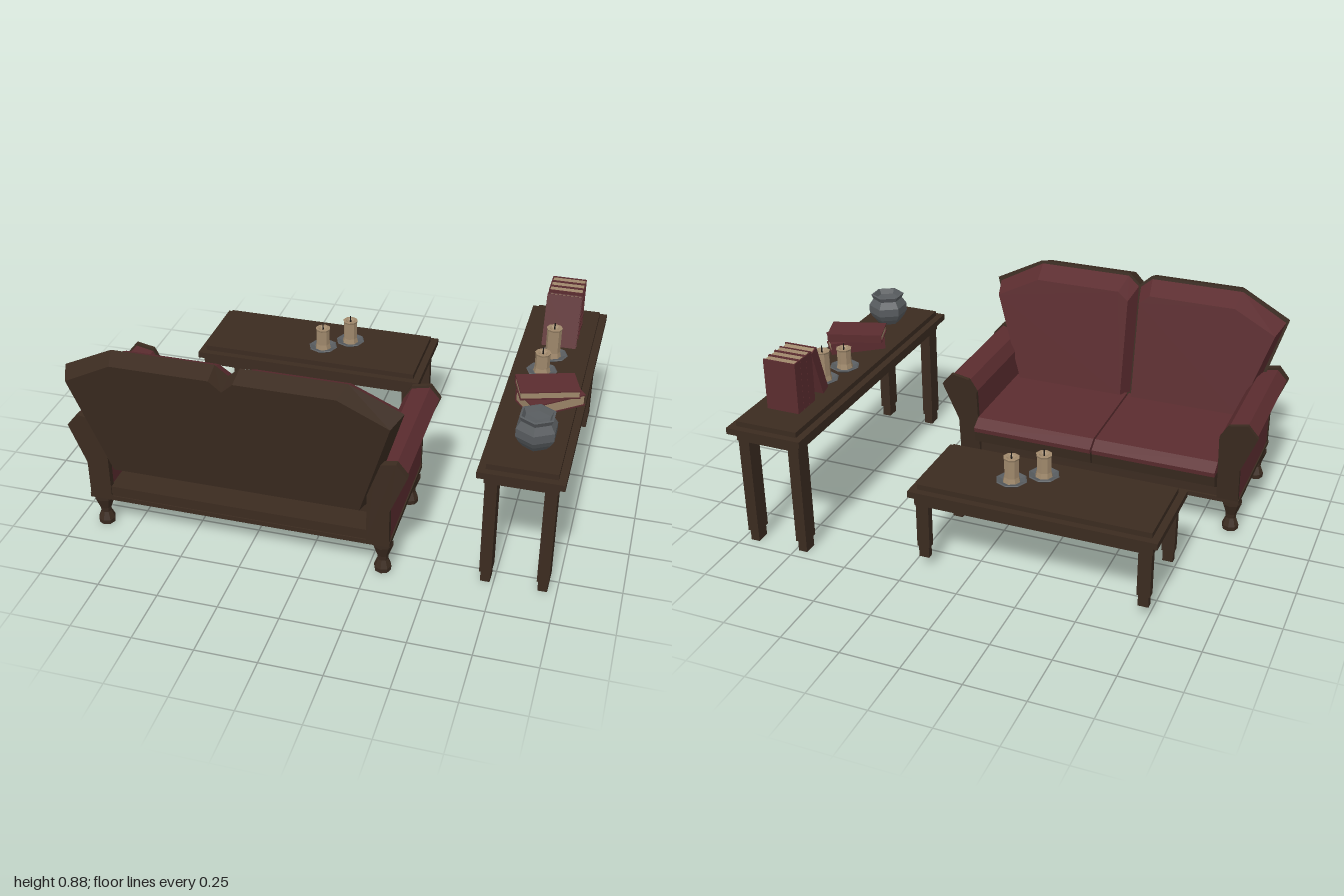
import * as THREE from 'three';

const mat = (name, color) => {
  const m = new THREE.MeshStandardMaterial({ color });
  m.name = name;
  return m;
};

export function createModel() {
  const wood = mat('dark wood', 0x3b2b20);
  const red = mat('wine red', 0x5b2c2f);
  const tan = mat('candle and paper tan', 0xa0896c);
  const grey = mat('pewter grey', 0x585c5f);
  const black = mat('wick black', 0x1c1815);

  const root = new THREE.Group();
  root.name = 'livingRoomSet';

  const group = (parent, name, x = 0, y = 0, z = 0) => {
    const g = new THREE.Group();
    g.name = name;
    g.position.set(x, y, z);
    parent.add(g);
    return g;
  };
  // Faceted mesh
  const add = (parent, name, geo, material, x = 0, y = 0, z = 0) => {
    const g = geo.index ? geo.toNonIndexed() : geo;
    g.computeVertexNormals();
    const m = new THREE.Mesh(g, material);
    m.name = name;
    m.position.set(x, y, z);
    parent.add(m);
    return m;
  };
  // Box given by its limits
  const box = (parent, name, material, x0, x1, y0, y1, z0, z1) =>
    add(parent, name, new THREE.BoxGeometry(x1 - x0, y1 - y0, z1 - z0), material,
      (x0 + x1) / 2, (y0 + y1) / 2, (z0 + z1) / 2);
  const lathe = (pts, sides) =>
    new THREE.LatheGeometry(pts.map(p => new THREE.Vector2(...p)), sides);
  // Extruded outline whose vertices are then moved by a rule
  const slab = (pts, depth, rule) => {
    const shape = new THREE.Shape(pts.map(p => new THREE.Vector2(...p)));
    const geo = new THREE.ExtrudeGeometry(shape, { depth, bevelEnabled: false });
    if (rule) {
      const pos = geo.attributes.position, v = new THREE.Vector3();
      for (let i = 0; i < pos.count; i++) {
        rule(v.fromBufferAttribute(pos, i));
        pos.setXYZ(i, v.x, v.y, v.z);
      }
    }
    return geo;
  };
  const mirror = (pts, s) => pts.map(([x, y]) => [x * s, y]);

  // ---------- Sofa, seat towards -z ----------
  const sofa = group(root, 'sofa', -0.29);
  box(sofa, 'baseRail', wood, -0.635, 0.635, 0.148, 0.168, 0.08, 0.65);
  box(sofa, 'seatFrame', wood, -0.56, 0.56, 0.168, 0.212, 0.09, 0.645);

  // Leaning wooden back with narrowed rear edge
  const lean = y => 0.57 + 0.15 * (y - 0.3);
  const backHalf = [[0.54, 0.31], [0.68, 0.77], [0.47, 0.875], [0.05, 0.875]];
  const backOutline = [...backHalf, [0, 0.83], ...mirror(backHalf, -1).reverse()];
  add(sofa, 'backPanel', slab(backOutline, 0.085, v => {
    if (v.z > 0.05) {
      v.x *= 0.95;
      if (v.y > 0.5) v.y -= 0.025;
    }
    v.z += lean(v.y);
  }), wood);

  const backPad = [[0.005, 0.33], [0.53, 0.33], [0.665, 0.755], [0.465, 0.862], [0.055, 0.862], [0.005, 0.82]];
  const arm = [[0.54, 0.165], [0.632, 0.165], [0.632, 0.32], [0.7, 0.49], [0.655, 0.545], [0.575, 0.53], [0.54, 0.47]];
  const armInset = arm.map(([x, y]) => [0.6 + (x - 0.6) * 0.94, y > 0.5 ? y - 0.01 : y]);
  const seatTop = [[0.06, 0.345], [0.012, 0.315], [0.015, 0.295], [0.53, 0.295], [0.53, 0.345]];
  const seatSide = [[0.017, 0.295], [0.026, 0.245], [0.085, 0.21], [0.53, 0.21], [0.53, 0.295]];
  // Front of the arm slopes back towards the floor
  const armSlope = v => { if (v.z < 0.1) v.z += (0.53 - v.y) * 0.1; };
  const legProfile = [[0, 0], [0.034, 0], [0.036, 0.02], [0.022, 0.055], [0.024, 0.075], [0.042, 0.125], [0.042, 0.15]];

  for (const s of [-1, 1]) {
    const side = s > 0 ? 'left' : 'right';
    // Back cushion, tapering towards its front face
    add(sofa, side + 'BackCushion', slab(mirror(backPad, s), 0.09, v => {
      if (v.z < 0.04) {
        v.x = s * 0.3 + (v.x - s * 0.3) * 0.93;
        v.y = 0.5 + (v.y - 0.5) * 0.88;
      }
      v.z += lean(v.y) - 0.09;
    }), red);
    // Seat cushion with a wooden lower edge
    for (const [part, pts, m] of [['SeatCushion', seatTop, red], ['SeatEdge', seatSide, wood]]) {
      const g = slab(pts, 0.535).rotateY(-Math.PI / 2);
      add(sofa, side + part, g, m, s > 0 ? 0.539 : -0.004);
    }
    // Padded arm between two wooden end panels
    add(sofa, side + 'Arm', slab(mirror(armInset, s), 0.57,
      v => { v.z += 0.056; armSlope(v); }), red);
    add(sofa, side + 'ArmFrontPanel', slab(mirror(arm, s), 0.018,
      v => { v.z += 0.04; armSlope(v); }), wood);
    add(sofa, side + 'ArmBackPanel', slab(mirror(arm, s), 0.028), wood, 0, 0, 0.622);
    for (const z of [0.13, 0.602])
      add(sofa, side + 'SofaLeg', lathe(legProfile, 8), wood, s * 0.597, 0, z);
  }

  // ---------- Tables ----------
  // Stepped top, apron and four legs with narrower feet
  const table = (name, cx, cz, hx, hz, top, foot, lx, lz, legX, legZ, solid) => {
    const t = group(root, name, cx, 0, cz);
    box(t, 'tableTop', wood, -hx, hx, top - 0.05, top - 0.023, -hz, hz);
    box(t, 'tableTopInset', wood, -hx + 0.03, hx - 0.03, top - 0.023, top, -hz + 0.03, hz - 0.03);
    const ax = legX + lx + 0.004, az = legZ + lz + 0.004, y0 = top - 0.09, y1 = top - 0.05;
    if (solid) box(t, 'apron', wood, -ax, ax, y0, y1, -az, az);
    for (const s of [-1, 1]) {
      if (!solid) {
        box(t, 'longApron', wood, -ax, ax, y0, y1, s * (az - 0.008) - 0.008, s * (az - 0.008) + 0.008);
        box(t, 'shortApron', wood, s * (ax - 0.008) - 0.008, s * (ax - 0.008) + 0.008, y0, y1, -az, az);
      }
      for (const q of [-1, 1]) {
        const x = s * legX, z = q * legZ;
        box(t, 'tableLeg', wood, x - lx, x + lx, foot + 0.05, y1, z - lz, z + lz);
        box(t, 'tableFoot', wood, x - lx * 0.8, x + lx * 0.8, foot, foot + 0.05, z - lz * 0.8, z + lz * 0.8);
      }
    }
  };
  table('coffeeTable', -0.267, -0.445, 0.515, 0.207, 0.385, 0.05, 0.027, 0.017, 0.463, 0.167, false);
  table('consoleTable', 0.83, -0.067, 0.167, 0.683, 0.57, 0, 0.024, 0.037, 0.114, 0.61, true);

  // ---------- Candles on dishes ----------
  const candle = (x, y, z, h) => {
    const c = group(root, 'candle', x, y, z);
    add(c, 'candleDish', lathe([[0, 0], [0.045, 0], [0.065, 0.013], [0.06, 0.016], [0.04, 0.008], [0, 0.008]], 8), grey);
    add(c, 'candleWax', lathe([[0, 0.008], [0.036, 0.008], [0.031, 0.03], [0.031, h - 0.008], [0.034, h],
      [0.022, h], [0.012, h - 0.008], [0, h - 0.008]], 8), tan);
    add(c, 'wick', new THREE.CylinderGeometry(0.002, 0.004, 0.03, 4), black, 0, h + 0.008, 0);
  };
  candle(0.817, 0.571, -0.267, 0.14);
  candle(0.793, 0.571, -0.127, 0.096);
  candle(-0.125, 0.386, -0.47, 0.115);
  candle(-0.23, 0.386, -0.385, 0.105);

  // ---------- Vase ----------
  add(root, 'vase', lathe([[0, 0], [0.052, 0], [0.072, 0.025], [0.086, 0.05], [0.086, 0.085], [0.066, 0.115],
    [0.075, 0.135], [0.066, 0.137], [0.055, 0.115], [0, 0.11]], 6), grey, 0.85, 0.57, 0.405);

  // ---------- Books: length on x, spine at -z ----------
  const book = (parent, l, w, t) => {
    const b = group(parent, 'book');
    const c = 0.005;
    box(b, 'pages', tan, -l / 2 + 0.004, l / 2 - 0.004, -t / 2 + c, t / 2 - c, -w / 2 + c, w / 2 - 0.004);
    box(b, 'spine', red, -l / 2, l / 2, -t / 2 + c, t / 2 - c, -w / 2, -w / 2 + c);
    for (const s of [-1, 1])
      box(b, 'cover', red, -l / 2, l / 2, s * (t / 2 - c / 2) - c / 2, s * (t / 2 - c / 2) + c / 2, -w / 2, w / 2);
    return b;
  };
  const deg = Math.PI / 180;
  const lower = book(root, 0.24, 0.14, 0.051);
  lower.position.set(0.86, 0.5965, 0.1);
  lower.rotation.y = 38 * deg;
  const upper = book(root, 0.24, 0.14, 0.036);
  upper.position.set(0.845, 0.641, 0.092);
  upper.rotation.y = 18 * deg;

  // Upright row and one leaning book, spines towards -x
  const upright = new THREE.Matrix4().makeBasis(
    new THREE.Vector3(0, 1, 0), new THREE.Vector3(0, 0, 1), new THREE.Vector3(1, 0, 0));
  const stand = (y, z, tilt) => {
    const g = group(root, 'standingBook', 0.832, y, z);
    g.rotation.x = tilt;
    book(g, 0.222, 0.145, 0.044).quaternion.setFromRotationMatrix(upright);
  };
  for (const z of [-0.467, -0.512, -0.557]) stand(0.683, z, 0);
  stand(0.683, -0.39, -0.32);

  return root;
}
